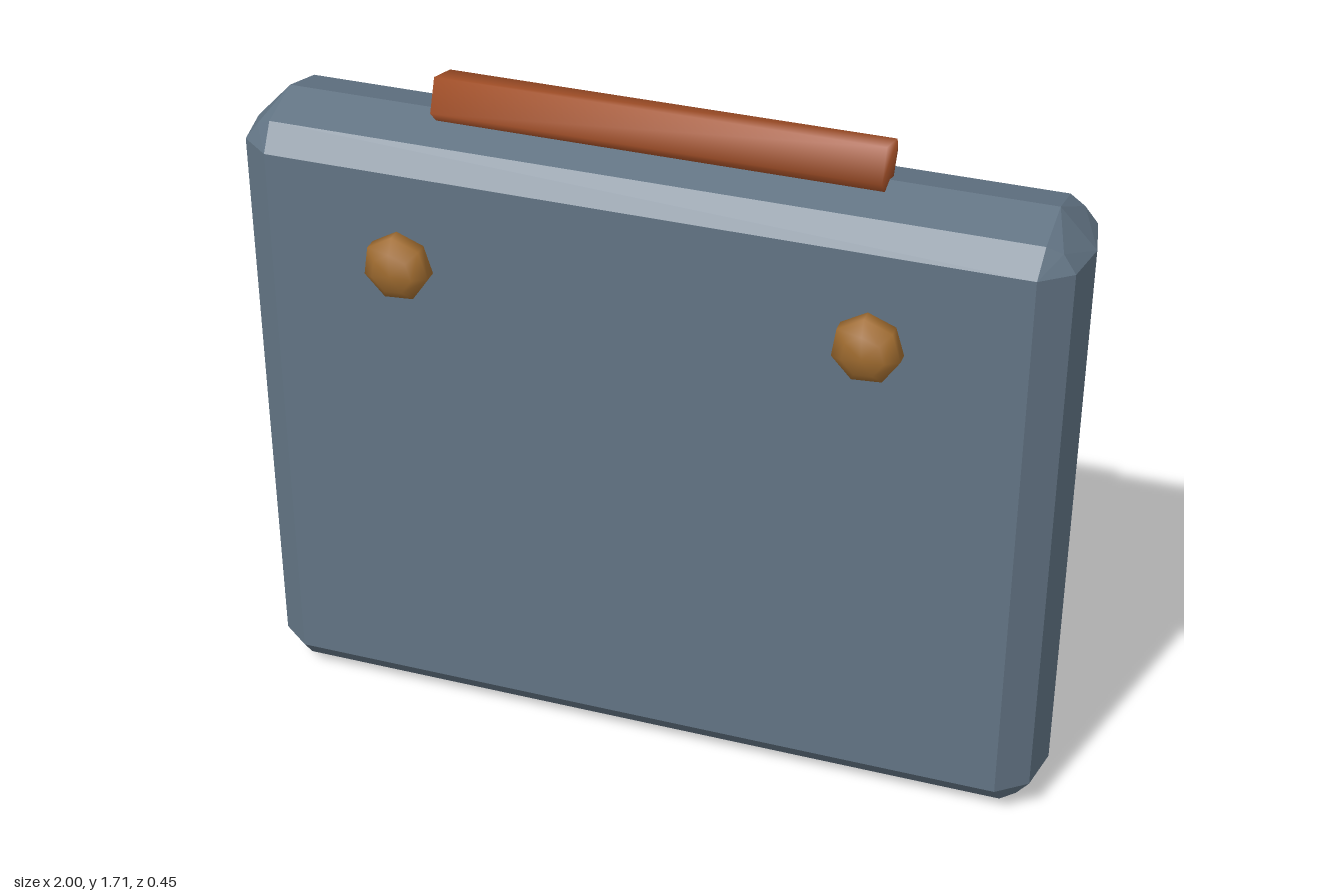
import * as THREE from 'three';
import { mergeVertices } from 'three/addons/utils/BufferGeometryUtils.js';
import { ConvexGeometry } from 'three/addons/geometries/ConvexGeometry.js';

const makeMaterial = (name, color) => {
  const m = new THREE.MeshStandardMaterial({ color });
  m.name = name;
  return m;
};

// Share vertices so that shading flows over the edges
function smooth(geometry) {
  geometry.deleteAttribute('normal');
  geometry.deleteAttribute('uv');
  const merged = mergeVertices(geometry, 1e-4);
  merged.computeVertexNormals();
  return merged;
}

export function createModel() {
  const slate = makeMaterial('slate blue', 0x627484);
  const leather = makeMaterial('rust leather', 0xa04e27);
  const brass = makeMaterial('brass', 0xa06c30);

  const group = new THREE.Group();
  group.name = 'briefcase';
  const add = (name, geometry, material) => {
    const mesh = new THREE.Mesh(geometry, material);
    mesh.name = name;
    group.add(mesh);
    return mesh;
  };

  // Case: one bevelled corner mirrored eight ways, measured from the centre
  const corner = [
    [0.905, 0.71, 0.175], [0.978, 0.71, 0.118], [0.91, 0.77, 0.125],
    [0.947, 0.752, 0.112], [1, 0.71, 0], [0.912, 0.803, 0],
  ];
  const points = [];
  for (const sx of [-1, 1]) for (const sy of [-1, 1]) for (const sz of [-1, 1]) {
    for (const [x, y, z] of corner) {
      if (z === 0 && sz < 0) continue;
      points.push(new THREE.Vector3(sx * x, sy * y, sz * z));
    }
  }
  add('case', new ConvexGeometry(points), slate).position.set(0, 0.805, -0.055);

  // Handle: a short bar lying along the top ridge
  const section = [
    [-0.016, 1.63], [0.025, 1.587], [0.088, 1.592],
    [0.12, 1.652], [0.11, 1.682], [0.016, 1.707],
  ].map(([x, y]) => new THREE.Vector2(x, y));
  const bar = new THREE.ExtrudeGeometry(new THREE.Shape(section), { depth: 1.06, bevelEnabled: false });
  bar.translate(0, 0, -0.53).rotateY(Math.PI / 2);
  add('handle', smooth(bar), leather);

  // Clasps: flattened faceted studs on the front
  for (const [name, x] of [['rightClasp', -0.56], ['leftClasp', 0.553]]) {
    const stud = new THREE.SphereGeometry(1, 7, 5);
    stud.rotateX(Math.PI / 2).rotateZ(0.3).scale(0.085, 0.086, 0.052);
    add(name, smooth(stud), brass).position.set(x, 1.31, 0.173);
  }
  return group;
}
